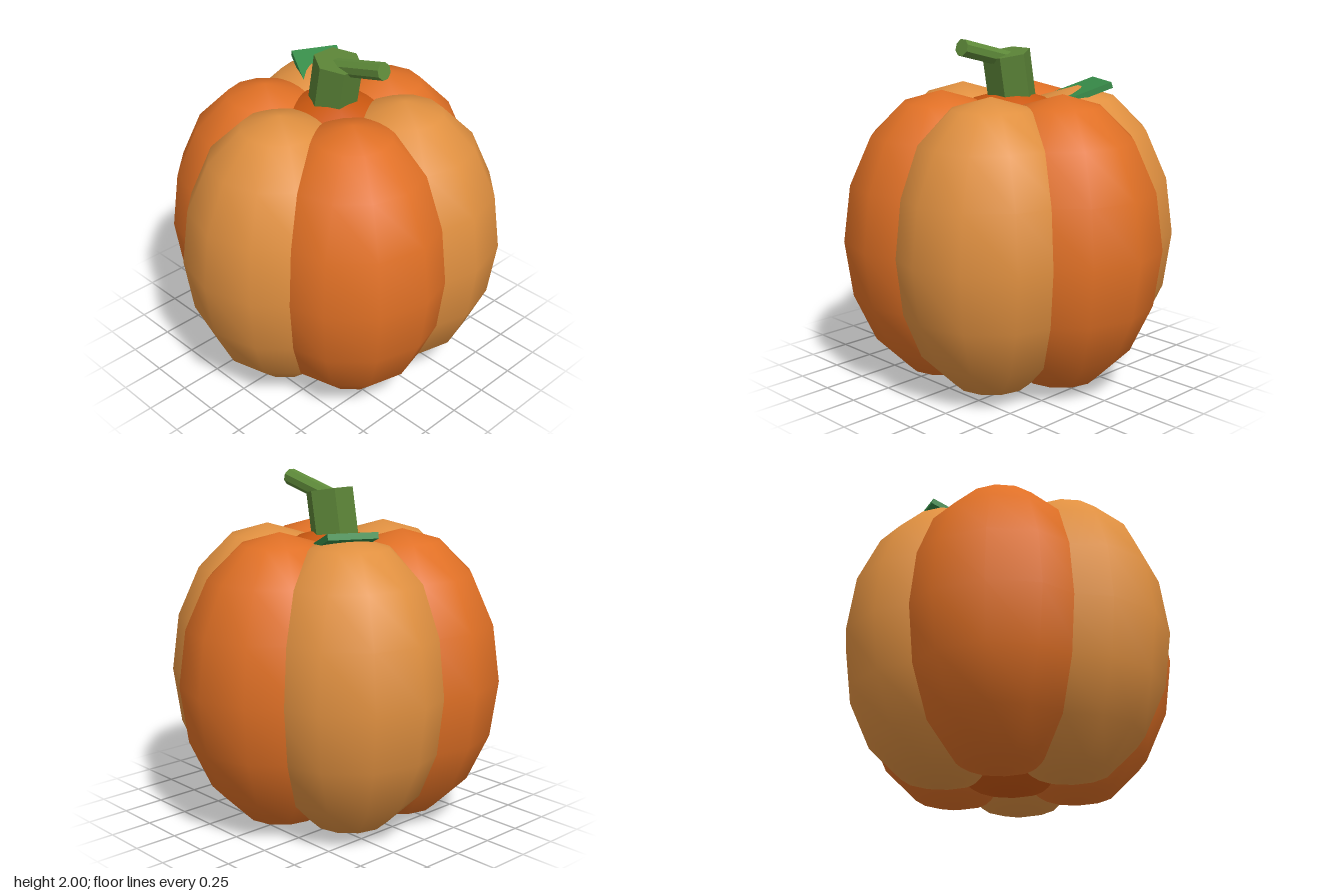
import * as THREE from 'three';

const paint = (name, color) => {
  const m = new THREE.MeshStandardMaterial({ color });
  m.name = name;
  return m;
};

// Faceted prism along y
function prism(radius, length, sides, start = 0) {
  const g = new THREE.CylinderGeometry(radius, radius, length, sides, 1, false, start).toNonIndexed();
  g.computeVertexNormals();
  return g;
}

export function createModel() {
  const model = new THREE.Group();
  model.name = 'pumpkin';
  const deepOrange = paint('deep orange', 0xe07025);
  const paleOrange = paint('pale orange', 0xe09040);
  const burntOrange = paint('burnt orange', 0xcc5810);
  const stemGreen = paint('stem green', 0x5a8236);
  const branchGreen = paint('branch green', 0x5f8b3a);
  const leafGreen = paint('leaf green', 0x378b48);

  const add = (name, geometry, material, x, y, z) => {
    const mesh = new THREE.Mesh(geometry, material);
    mesh.name = name;
    mesh.position.set(x, y, z);
    model.add(mesh);
    return mesh;
  };

  // Six overlapping lobes in alternating colours around an equal core
  const lobe = new THREE.SphereGeometry(1, 12, 8).scale(0.576, 0.85, 0.576);
  add('core', lobe, burntOrange, 0, 0.853, 0);
  for (let i = 0; i < 6; i++) {
    const a = (i * Math.PI) / 3;
    add('lobe' + (i + 1), lobe, i % 2 ? deepOrange : paleOrange,
      0.405 * Math.sin(a), 0.853, 0.405 * Math.cos(a));
  }

  // Leaning six-sided stem with a side branch
  add('stem', prism(0.14, 0.36, 6), stemGreen, 0.003, 1.728, 0).rotation.z = -0.18;
  add('branch', prism(0.049, 0.385, 8, Math.PI / 8), branchGreen, 0.19, 1.908, 0)
    .rotation.z = 0.25 - Math.PI / 2;

  // Leaf slab sloping down into a rear lobe
  const slab = new THREE.BoxGeometry(0.34, 0.035, 0.28).translate(0.17, -0.0175, 0);
  add('leaf', slab, leafGreen, -0.463, 1.735, -0.29).rotation.set(0, -0.464, -0.31, 'YXZ');

  return model;
}
